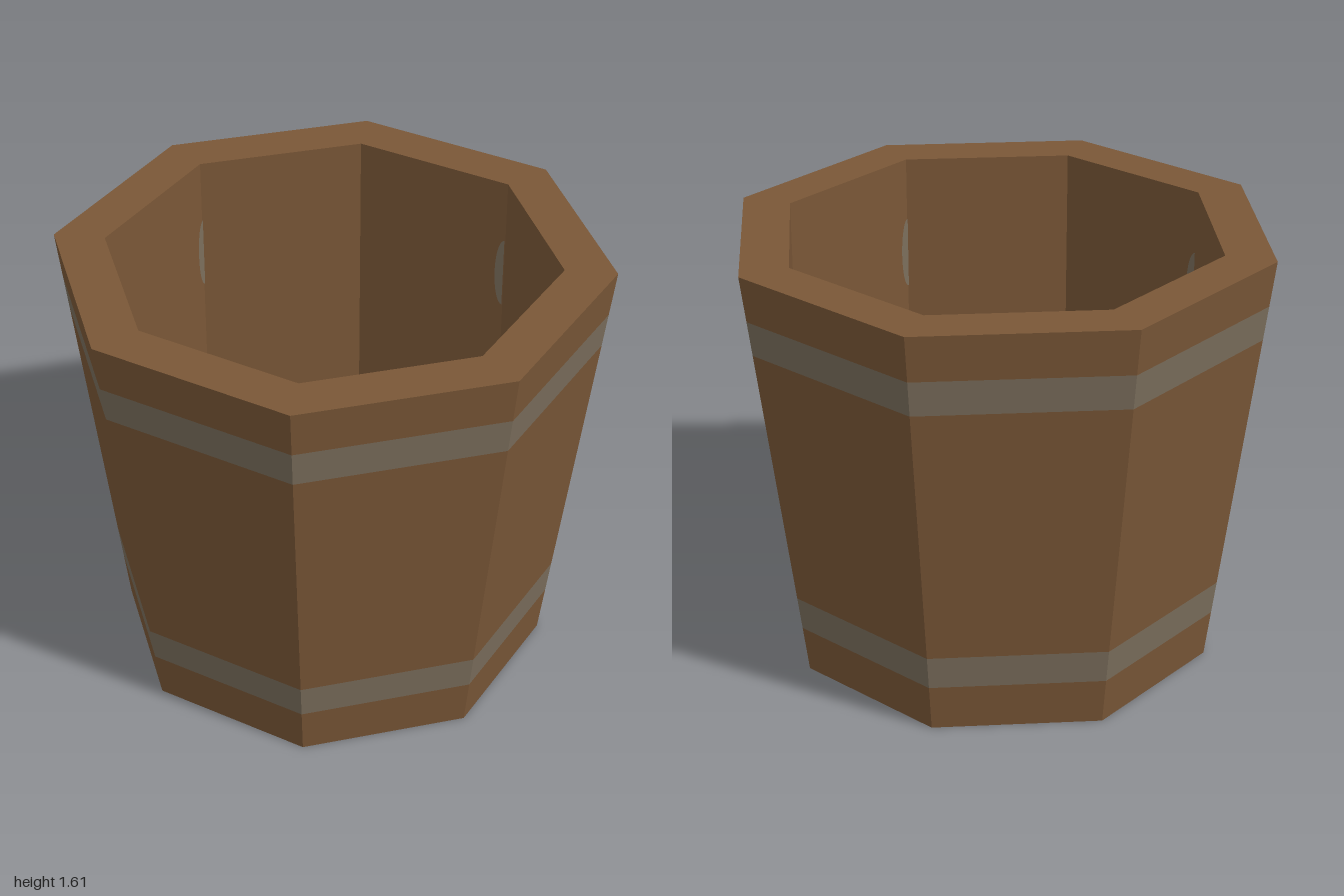
import * as THREE from 'three';

const SIDES = 8, HEIGHT = 1.61, R_BOTTOM = 0.8, R_TOP = 1, R_INNER = 0.815, FLOOR_Y = 0.33;
const radiusAt = (y) => R_BOTTOM + (R_TOP - R_BOTTOM) * y / HEIGHT;

export function createModel() {
  const bucket = new THREE.Group();
  bucket.name = 'bucket';

  const wood = new THREE.MeshStandardMaterial({ color: 0x7a5737, side: THREE.DoubleSide });
  wood.name = 'wood';
  const iron = new THREE.MeshStandardMaterial({ color: 0x7b6e5c, side: THREE.DoubleSide });
  iron.name = 'iron';

  const add = (name, geometry, material, y = 0) => {
    const mesh = new THREE.Mesh(geometry, material);
    mesh.name = name;
    mesh.position.y = y;
    bucket.add(mesh);
    return mesh;
  };

  // Open octagonal wall section with flat faces
  const section = (rTop, rBottom, height) => {
    const g = new THREE.CylinderGeometry(rTop, rBottom, height, SIDES, 1, true).toNonIndexed();
    g.computeVertexNormals();
    return g;
  };

  // Tapered outer wall: staves alternate with flush hoops
  const levels = [0, 0.18, 0.31, 1.31, 1.44, HEIGHT];
  const names = ['lowerStaves', 'lowerHoop', 'middleStaves', 'upperHoop', 'upperStaves'];
  names.forEach((name, i) => {
    const y0 = levels[i], y1 = levels[i + 1];
    add(name, section(radiusAt(y1), radiusAt(y0), y1 - y0), i % 2 ? iron : wood, (y0 + y1) / 2);
  });

  // Straight inner wall
  add('innerWall', section(R_INNER, R_INNER, HEIGHT - FLOOR_Y), wood, (HEIGHT + FLOOR_Y) / 2);

  // Flat rim and raised floor
  add('rim', new THREE.RingGeometry(R_INNER, R_TOP, SIDES).rotateX(-Math.PI / 2), wood, HEIGHT);
  add('floor', new THREE.CircleGeometry(radiusAt(FLOOR_Y), SIDES).rotateX(-Math.PI / 2), wood, FLOOR_Y);

  // Small iron patches beside every second inner corner
  const half = new THREE.Shape();
  half.absellipse(0, 0, 0.035, 0.14, -Math.PI / 2, Math.PI / 2, false, 0);
  for (let i = 0; i < 4; i++) {
    const g = new THREE.ShapeGeometry(half, 8)
      .rotateY(Math.PI / SIDES)
      .translate(0, 0, R_INNER - 0.005)
      .rotateY(i * Math.PI / 2);
    add('innerPatch', g, iron, 1.23);
  }

  return bucket;
}
